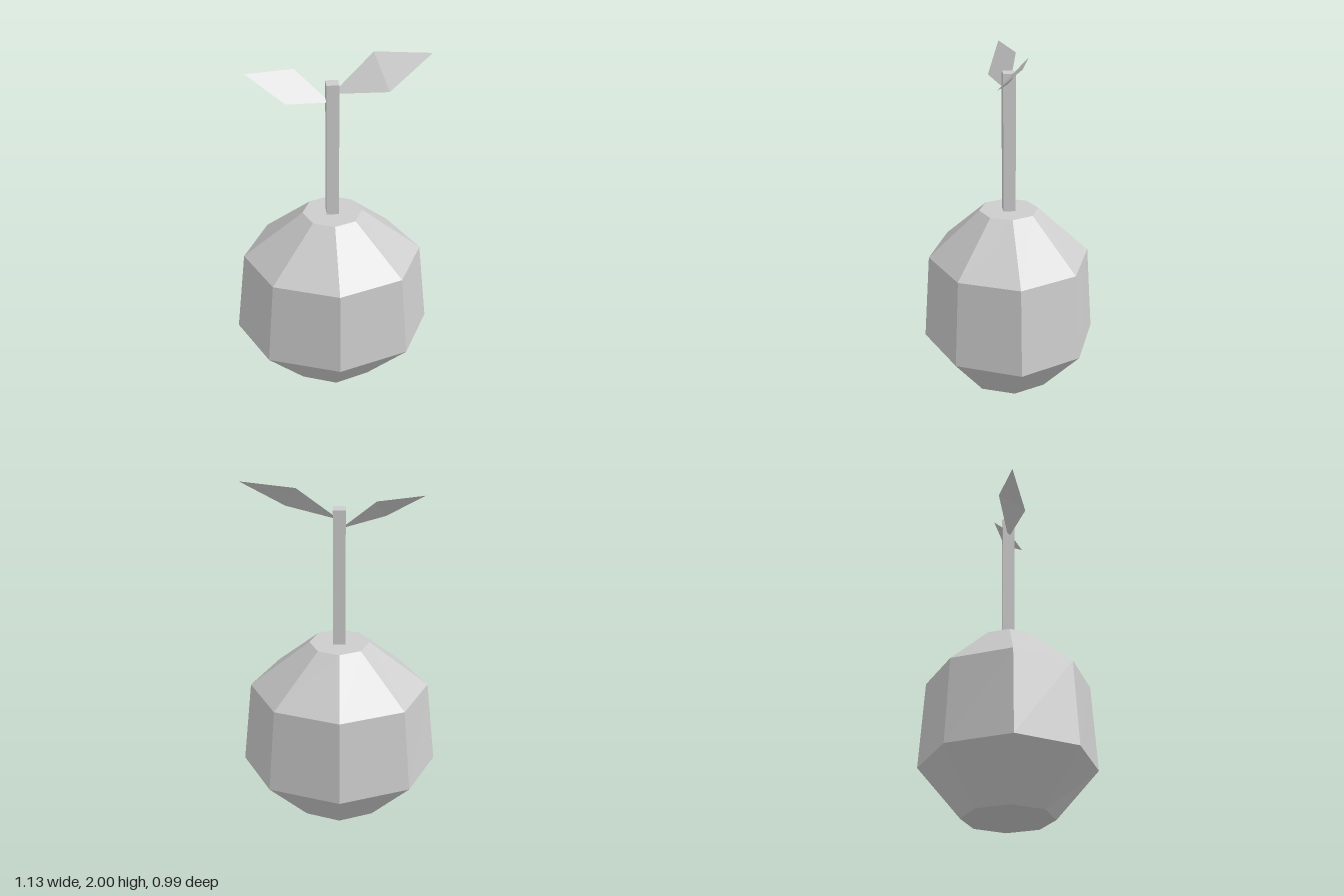
import * as THREE from 'three';

// One double-sided colour: the leaves are open sheets.
const grey = new THREE.MeshStandardMaterial({ color: 0xcccccc, flatShading: true, side: THREE.DoubleSide });
grey.name = 'light grey';

function addMesh(parent, geometry, name) {
  const mesh = new THREE.Mesh(geometry, grey);
  mesh.name = name;
  parent.add(mesh);
  return mesh;
}

// Rings of the fruit from bottom to top: height, half width, half depth.
const rings = [
  [0, 0.273, 0.258],
  [0.28, 0.565, 0.496],
  [0.775, 0.513, 0.463],
  [1.05, 0.17, 0.17],
];

function fruitGeometry() {
  // Eight-sided drum with its rows moved to the ring sizes.
  const drum = new THREE.CylinderGeometry(1, 1, 1, 8, rings.length - 1);
  const pos = drum.attributes.position;
  for (let i = 0; i < pos.count; i++) {
    const [y, rx, rz] = rings[Math.round((pos.getY(i) + 0.5) * (rings.length - 1))];
    pos.setXYZ(i, pos.getX(i) * rx, y, pos.getZ(i) * rz);
  }
  const flat = drum.toNonIndexed();
  flat.computeVertexNormals();
  return flat;
}

// Four-cornered leaf, bent slightly across its widest line.
function leafGeometry(base, front, tip, back) {
  const geometry = new THREE.BufferGeometry();
  geometry.setAttribute('position', new THREE.Float32BufferAttribute(
    [base, front, back, front, tip, back].flat(), 3));
  geometry.computeVertexNormals();
  return geometry;
}

export function createModel() {
  const model = new THREE.Group();
  model.name = 'fruitWithStem';

  addMesh(model, fruitGeometry(), 'fruitBody');

  // Square stem standing on the top facet
  addMesh(model, new THREE.BoxGeometry(0.07, 0.8, 0.07), 'stem').position.y = 1.45;

  // Two leaves of different size, tilted towards the front
  addMesh(model, leafGeometry(
    [0, 1.785, 0], [0.295, 1.83, 0.1], [0.535, 2, 0], [0.23, 1.988, -0.077]), 'leftLeaf');
  addMesh(model, leafGeometry(
    [-0.01, 1.735, 0], [-0.2, 1.91, -0.066], [-0.465, 1.92, 0], [-0.255, 1.775, 0.086]), 'rightLeaf');

  return model;
}
